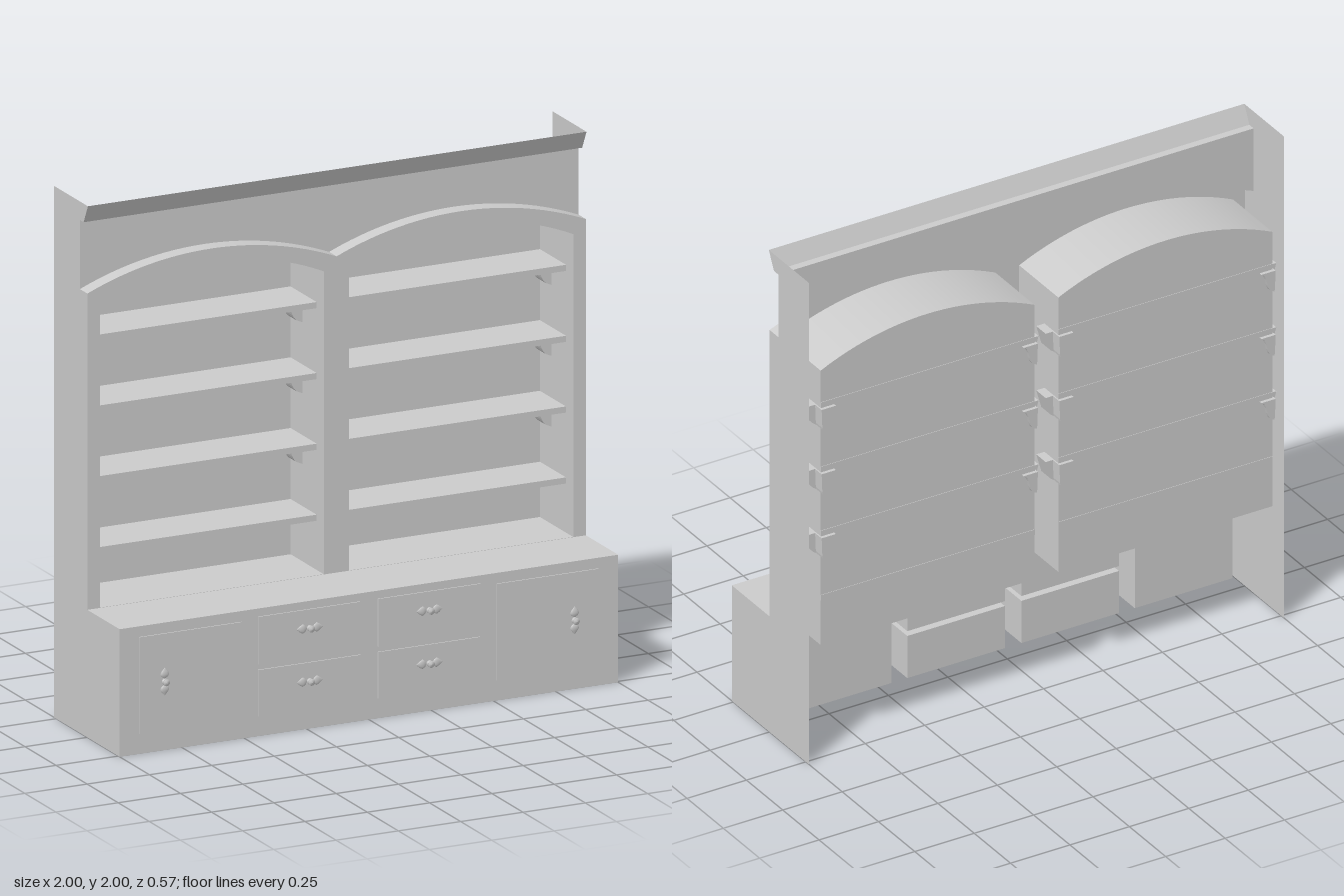
import * as THREE from 'three';

const material = new THREE.MeshStandardMaterial({ color: 0xcccccc, side: THREE.DoubleSide });
const BACK = -0.27, RECESS = -0.06, FRONT = 0.26, COUNTER = 0.48;

function add(parent, name, geometry, x = 0, y = 0, z = 0) {
  const mesh = new THREE.Mesh(geometry, material);
  mesh.name = name;
  mesh.position.set(x, y, z);
  parent.add(mesh);
  return mesh;
}

// Box given by its lower and upper bounds
function block(parent, name, x0, x1, y0, y1, z0, z1) {
  return add(parent, name, new THREE.BoxGeometry(x1 - x0, y1 - y0, z1 - z0),
    (x0 + x1) / 2, (y0 + y1) / 2, (z0 + z1) / 2);
}

// Ruled sheet between two rows of [x, y, z] points
function sheet(a, b) {
  const n = a.length;
  const g = new THREE.PlaneGeometry(1, 1, n - 1, 1);
  [...a, ...b].forEach((p, i) => g.attributes.position.setXYZ(i, ...p));
  g.computeVertexNormals();
  return g;
}

// Sheet that follows [x, y] points and runs from z0 to z1
const depthSheet = (pts, z0, z1) =>
  sheet(pts.map(([x, y]) => [x, y, z0]), pts.map(([x, y]) => [x, y, z1]));

// Sheet that runs across the full width between two [y, z] points
const wideSheet = ([y0, z0], [y1, z1]) =>
  sheet([[-1, y0, z0], [1, y0, z0]], [[-1, y1, z1], [1, y1, z1]]);

// Circular arch, left to right
function arch(cx, half, base, rise, n = 24) {
  const r = (half * half + rise * rise) / (2 * rise);
  return Array.from({ length: n + 1 }, (_, i) => {
    const d = -half + (2 * half * i) / n;
    return [cx + d, base + rise - r + Math.sqrt(r * r - d * d)];
  });
}

const toShape = pts => new THREE.Shape(pts.map(p => new THREE.Vector2(...p)));

// Curved shelf bracket: profile in x (away from the wall) and y, s mirrors it
function bracketGeometry(s, poke, reach, depth) {
  const shape = new THREE.Shape();
  shape.moveTo(-poke * s, 0);
  shape.lineTo(reach * s, 0);
  shape.bezierCurveTo(reach * 0.45 * s, -0.012, reach * 0.65 * s, -0.07, 0.012 * s, -0.08);
  shape.lineTo(0, -0.085);
  shape.lineTo(-poke * 0.4 * s, -0.075);
  shape.closePath();
  return new THREE.ExtrudeGeometry(shape, { depth, bevelEnabled: false, curveSegments: 8 });
}

// Pull with two pointed leaves and a round knob
function makeHandle(name, x, y, vertical) {
  const handle = new THREE.Group();
  handle.name = name;
  const leaf = [[0.001, 0], [0.012, 0.006], [0.018, 0.016], [0.012, 0.027], [0.001, 0.04]]
    .map(p => new THREE.Vector2(...p));
  for (const s of [-1, 1]) {
    const m = add(handle, 'handleLeaf', new THREE.LatheGeometry(leaf, 12), s * 0.012, 0, 0);
    m.rotation.z = -s * Math.PI / 2;
    m.scale.z = 0.3;
  }
  const knob = [[0.012, 0], [0.006, 0.004], [0.005, 0.01], [0.013, 0.013], [0.013, 0.017], [0.001, 0.02]]
    .map(p => new THREE.Vector2(...p));
  add(handle, 'handleKnob', new THREE.LatheGeometry(knob, 14)).rotation.x = Math.PI / 2;
  handle.position.set(x, y, 0.266);
  if (vertical) handle.rotation.z = Math.PI / 2;
  return handle;
}

export function createModel() {
  const model = new THREE.Group();
  model.name = 'bookcase';

  const outer = [...arch(-0.5, 0.5, 1.67, 0.1), ...arch(0.5, 0.5, 1.67, 0.1).slice(1)];

  // Front frame with two arched openings
  const frame = toShape([[-1, COUNTER], ...outer, [1, COUNTER]]);
  for (const s of [-1, 1]) {
    frame.holes.push(new THREE.Path([[s * 0.5 - 0.45, COUNTER + 0.001],
      ...arch(s * 0.5, 0.45, 1.62, 0.1), [s * 0.5 + 0.45, COUNTER + 0.001]]
      .map(p => new THREE.Vector2(...p))));
  }
  add(model, 'frontFrame', new THREE.ShapeGeometry(frame));

  // Ledge over the arches and the fascia set back behind it
  for (const s of [-1, 1]) {
    add(model, 'archLedge', depthSheet(arch(s * 0.5, 0.5, 1.67, 0.1), RECESS, 0));
  }
  add(model, 'fascia', new THREE.ShapeGeometry(toShape([...outer, [1, 1.93], [-1, 1.93]])), 0, 0, RECESS);

  // Crown moulding
  add(model, 'crownSoffit', wideSheet([1.93, RECESS], [1.93, -0.03]));
  add(model, 'crownSlope', wideSheet([2, 0.005], [1.93, -0.03]));

  // Side panels, profile in z and y
  const side = [[BACK, 0], [FRONT, 0], [FRONT, COUNTER], [0, COUNTER], [0, 1.67],
    [RECESS, 1.67], [RECESS, 1.93], [-0.03, 1.93], [0.005, 2], [BACK, 2]];
  for (const s of [-1, 1]) {
    const g = new THREE.ShapeGeometry(toShape(side.map(([z, y]) => [-s * z, y])));
    g.rotateY(s * Math.PI / 2);
    add(model, s > 0 ? 'leftSidePanel' : 'rightSidePanel', g, s, 0, 0);
  }

  // Base front and countertop
  add(model, 'baseFront', wideSheet([COUNTER, FRONT], [0, FRONT]));
  add(model, 'countertop', wideSheet([COUNTER, 0], [COUNTER, FRONT]));

  // Two alcoves with shelves and brackets
  for (const s of [-1, 1]) {
    const alcove = new THREE.Group();
    alcove.name = s > 0 ? 'leftAlcove' : 'rightAlcove';
    model.add(alcove);
    const cx = s * 0.5, x0 = cx - 0.45, x1 = cx + 0.45;
    const vault = arch(cx, 0.45, 1.62, 0.1);
    add(alcove, 'alcoveBack', new THREE.ShapeGeometry(toShape([[x0, COUNTER], ...vault, [x1, COUNTER]])), 0, 0, BACK);
    add(alcove, 'alcoveVault', depthSheet(vault, BACK, 0));
    add(alcove, 'alcoveFloor', depthSheet([[x0, COUNTER], [x1, COUNTER]], BACK, 0));
    for (const x of [x0, x1]) {
      add(alcove, 'alcoveWall', depthSheet([[x, COUNTER], [x, 1.62]], BACK, 0));
    }
    [0.665, 0.932, 1.198, 1.465].forEach((y, i) => {
      block(alcove, 'shelf', x0, x1, y, y + 0.023, BACK - 0.002, RECESS);
      if (i === 0) return;
      for (const [x, dir] of [[x0, 1], [x1, -1]]) {
        add(alcove, 'wallBracket', bracketGeometry(dir, 0.035, 0.08, 0.065), x, y, -0.24);
        add(alcove, 'backBracket', bracketGeometry(dir, 0.005, 0.055, 0.045), x, y, -0.285);
      }
    });
  }

  // Doors outside, stacked drawers inside, each a deep box with a pull
  const z0 = -0.04, z1 = 0.265;
  for (const s of [-1, 1]) {
    const door = s * 0.717, drawer = s * 0.24;
    block(model, 'doorCabinet', door - 0.205, door + 0.205, 0.075, 0.44, z0, z1);
    model.add(makeHandle('doorHandle', s * 0.822, 0.26, true));
    for (const [y0, y1, hy] of [[0.075, 0.25, 0.18], [0.27, 0.45, 0.38]]) {
      block(model, 'drawer', drawer - 0.205, drawer + 0.205, y0, y1, z0, z1);
      model.add(makeHandle('drawerHandle', drawer, hy, false));
    }
  }

  return model;
}
